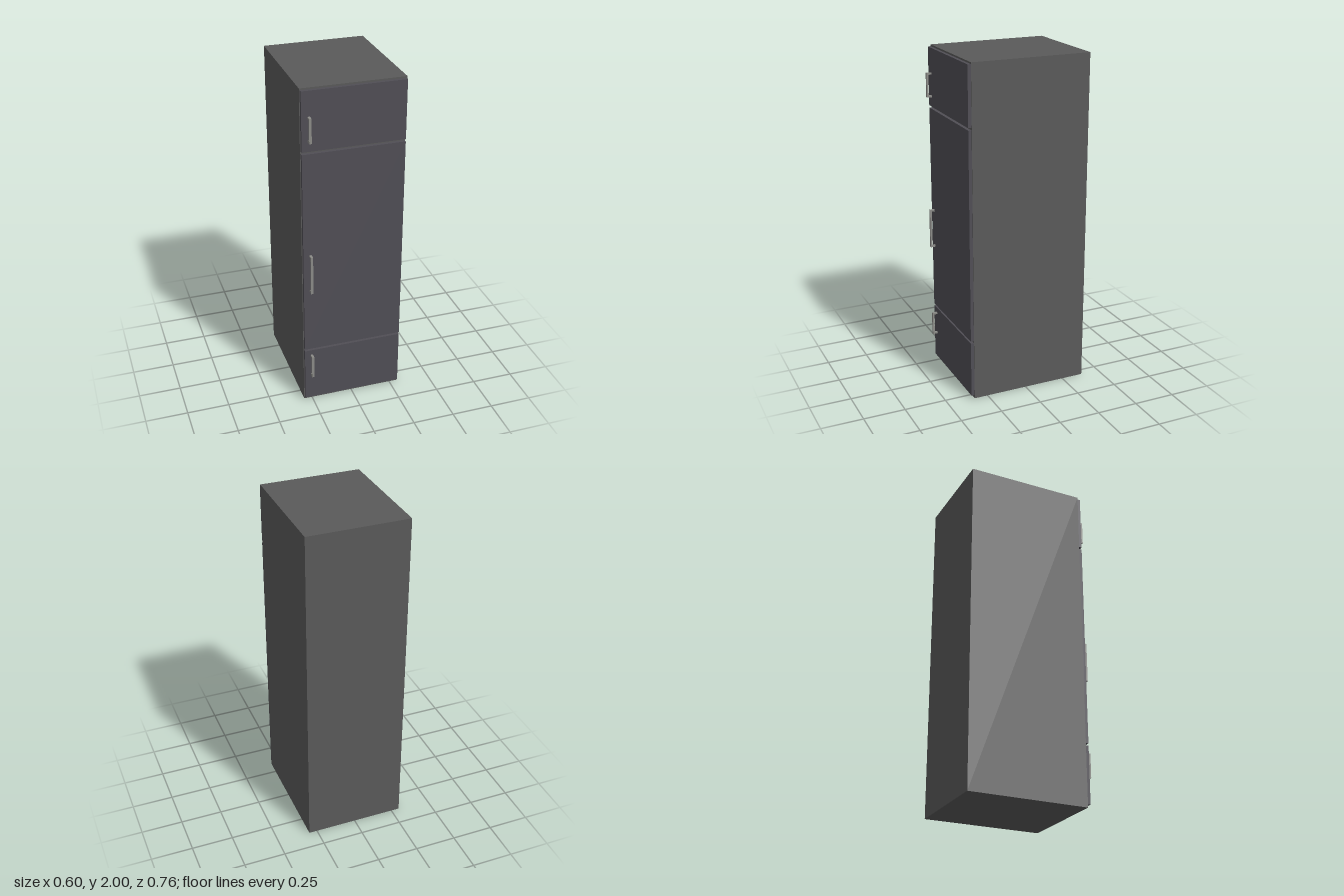
import * as THREE from 'three';

const BODY_FRONT = 0.333, DOOR_FRONT = 0.352, HANDLE_FRONT = 0.382;

const bodyMat = new THREE.MeshStandardMaterial({ color: 0x5a5a5a });
const doorMat = new THREE.MeshStandardMaterial({ color: 0x504e55 });
const handleMat = new THREE.MeshStandardMaterial({ color: 0x8c8c88 });

// Box given by its lower and upper corners
function boxBetween(name, min, max, material) {
  const size = max.map((v, i) => v - min[i]);
  const mesh = new THREE.Mesh(new THREE.BoxGeometry(...size), material);
  mesh.position.set(...max.map((v, i) => (v + min[i]) / 2));
  mesh.name = name;
  return mesh;
}

// Square-section bracket: a C profile drawn in depth and height, extruded across x
function makeHandle(name, y0, y1) {
  const t = 0.011, width = 0.014, depth = HANDLE_FRONT - DOOR_FRONT;
  const points = [
    [0, y0], [depth, y0], [depth, y1], [0, y1],
    [0, y1 - t], [depth - t, y1 - t], [depth - t, y0 + t], [0, y0 + t],
  ].map(([z, y]) => new THREE.Vector2(z, y));
  const geometry = new THREE.ExtrudeGeometry(new THREE.Shape(points), { depth: width, bevelEnabled: false });
  geometry.rotateY(-Math.PI / 2); // profile depth now points to +z
  const mesh = new THREE.Mesh(geometry, handleMat);
  mesh.position.set(-0.248, 0, DOOR_FRONT);
  mesh.name = name;
  return mesh;
}

export function createModel() {
  const cabinet = new THREE.Group();
  cabinet.name = 'tallCabinet';

  // Plain carcass
  cabinet.add(boxBetween('carcass', [-0.3, 0, -0.383], [0.3, 2, BODY_FRONT], bodyMat));

  // Three stacked fronts, each with a handle near its right edge
  const fronts = [
    { name: 'lower', door: [0.02, 0.36], handle: [0.185, 0.329] },
    { name: 'middle', door: [0.373, 1.631], handle: [0.771, 1.011] },
    { name: 'upper', door: [1.645, 1.99], handle: [1.702, 1.846] },
  ];
  for (const { name, door, handle } of fronts) {
    const group = new THREE.Group();
    group.name = name + 'Front';
    group.add(
      boxBetween(name + 'Door', [-0.296, door[0], BODY_FRONT], [0.296, door[1], DOOR_FRONT], doorMat),
      makeHandle(name + 'Handle', ...handle),
    );
    cabinet.add(group);
  }
  return cabinet;
}
